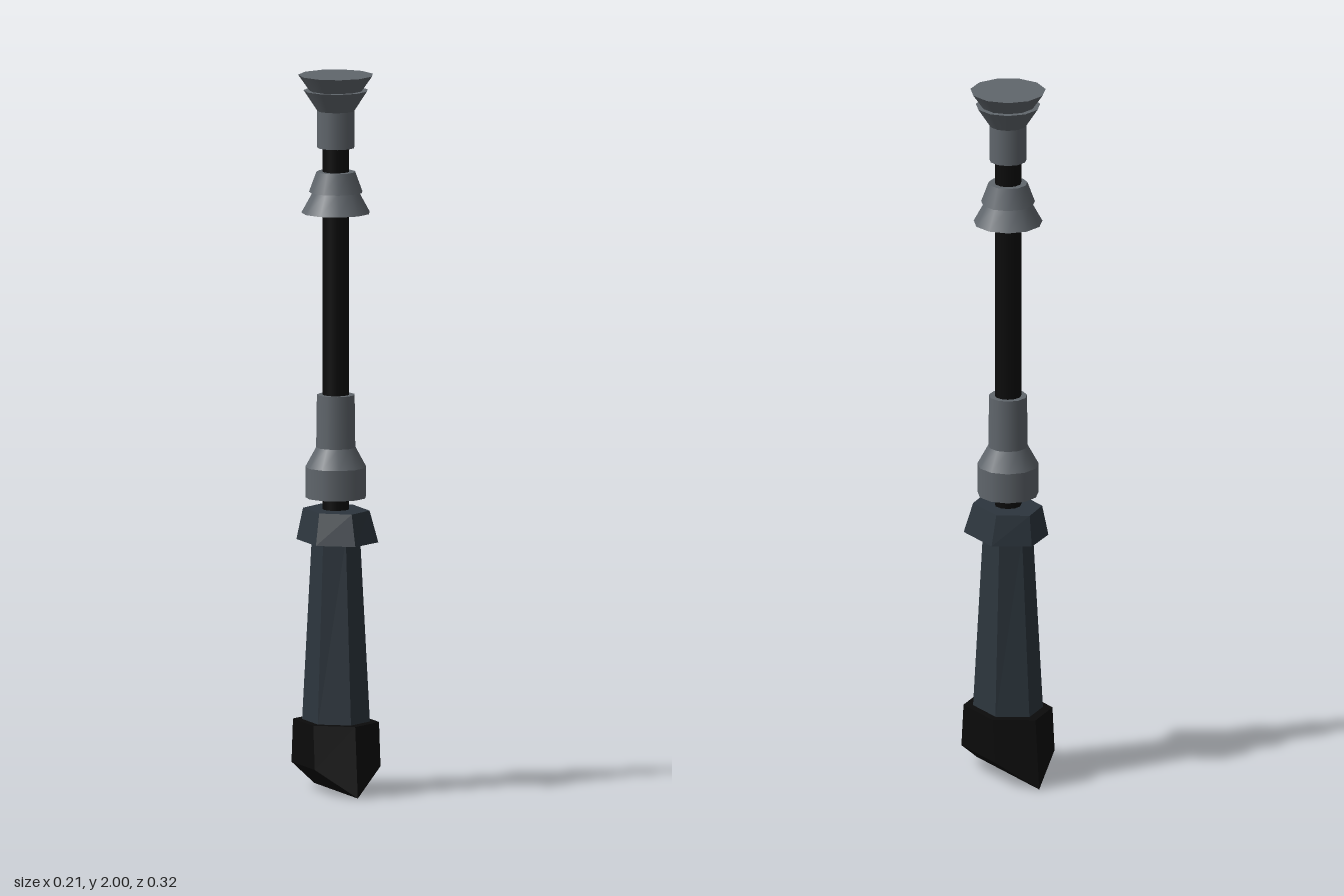
import * as THREE from 'three';

const SIDES = 11;

// Hexagonal section with its points on the z axis; tipY lets the points hang lower
function hexSection({ y, x, tip, side, dz = 0, tipY = y }) {
  return [
    [0, tipY, tip + dz], [x, y, side + dz], [x, y, -side + dz],
    [0, tipY, -tip + dz], [-x, y, -side + dz], [-x, y, side + dz],
  ];
}

// Closed, flat-faced solid between two hexagonal sections
function hexPrism(name, material, bottom, top) {
  const a = hexSection(bottom), b = hexSection(top), pos = [];
  const tri = (...points) => points.forEach((p) => pos.push(...p));
  for (let i = 0; i < 6; i++) {
    const j = (i + 1) % 6;
    tri(a[i], a[j], b[j]);
    tri(a[i], b[j], b[i]);
  }
  for (let i = 1; i < 5; i++) {
    tri(b[0], b[i], b[i + 1]);
    tri(a[0], a[i + 1], a[i]);
  }
  const geo = new THREE.BufferGeometry();
  geo.setAttribute('position', new THREE.Float32BufferAttribute(pos, 3));
  geo.computeVertexNormals();
  const mesh = new THREE.Mesh(geo, material);
  mesh.name = name;
  return mesh;
}

// Round part stacked from tapered bands, each [y0, r0, y1, r1]
function roundPart(name, material, bands) {
  const group = new THREE.Group();
  group.name = name;
  bands.forEach(([y0, r0, y1, r1], i) => {
    const geo = new THREE.CylinderGeometry(r1, r0, y1 - y0, SIDES, 1, false, Math.PI);
    const mesh = new THREE.Mesh(geo, material);
    mesh.position.y = (y0 + y1) / 2;
    mesh.name = `${name}Band${i + 1}`;
    group.add(mesh);
  });
  return group;
}

export function createModel() {
  const black = new THREE.MeshStandardMaterial({ color: 0x0b0b0b });
  black.name = 'black';
  const slate = new THREE.MeshStandardMaterial({ color: 0x2c353d });
  slate.name = 'darkSlate';
  const grey = new THREE.MeshStandardMaterial({ color: 0x60666c });
  grey.name = 'steelGrey';

  const model = new THREE.Group();
  model.name = 'staff';

  // Wedge-bottomed foot, tapered handle and flared collar
  model.add(
    hexPrism('foot', black,
      { y: 0.075, x: 0.098, tip: 0.161, side: 0.086, tipY: 0 },
      { y: 0.197, x: 0.098, tip: 0.142, side: 0.075 }),
    hexPrism('handle', slate,
      { y: 0.19, x: 0.078, tip: 0.111, side: 0.058 },
      { y: 0.71, x: 0.055, tip: 0.073, side: 0.042 }),
    hexPrism('collar', slate,
      { y: 0.7, x: 0.093, tip: 0.133, side: 0.072, dz: 0.01 },
      { y: 0.787, x: 0.075, tip: 0.114, side: 0.06, dz: 0.002 }),
  );

  // Shaft
  model.add(roundPart('shaft', black, [[0.75, 0.037, 1.82, 0.037]]));

  // Lower ferrule with a wide base and a narrow sleeve
  model.add(roundPart('lowerFerrule', grey, [
    [0.82, 0.085, 0.905, 0.085],
    [0.905, 0.085, 0.96, 0.055],
    [0.96, 0.055, 1.107, 0.053],
  ]));

  // Two stacked skirts
  model.add(roundPart('skirt', grey, [
    [1.615, 0.096, 1.675, 0.063],
    [1.673, 0.075, 1.73, 0.054],
  ]));

  // Head: sleeve, flare and flat-topped crown
  model.add(roundPart('head', grey, [
    [1.797, 0.052, 1.9, 0.052],
    [1.9, 0.052, 1.957, 0.09],
    [1.948, 0.068, 2.0, 0.105],
  ]));

  return model;
}
